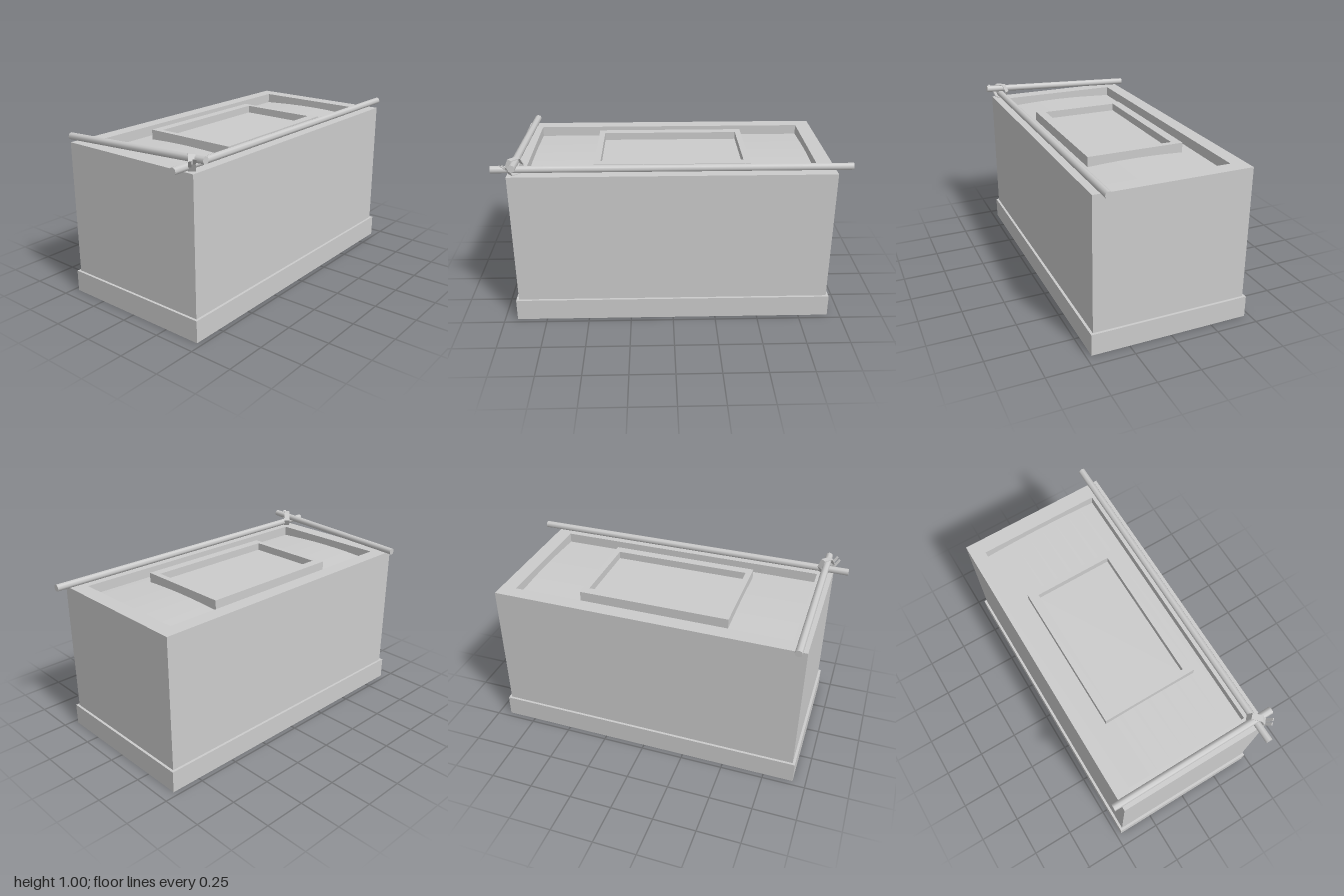
import * as THREE from 'three';

const grey = new THREE.MeshStandardMaterial({ color: 0xcccccc });
const thin = new THREE.MeshStandardMaterial({ color: 0xcccccc, side: THREE.DoubleSide });

function part(name, geometry, material = grey) {
  const mesh = new THREE.Mesh(geometry, material);
  mesh.name = name;
  return mesh;
}

const rect = (w, d) => [[-w, -d], [w, -d], [w, d], [-w, d]].map(([x, y]) => new THREE.Vector2(x, y));

// Upright rectangular frame with an open middle, sizes are half-extents
function frame(w, d, holeW, holeD, y0, y1) {
  const shape = new THREE.Shape(rect(w, d));
  shape.holes.push(new THREE.Path(rect(holeW, holeD).reverse()));
  return new THREE.ExtrudeGeometry(shape, { depth: y1 - y0, bevelEnabled: false })
    .rotateX(-Math.PI / 2).translate(0, y0, 0);
}

// Straight pole between two points
function pole(name, a, b, radius) {
  const dir = b.clone().sub(a);
  const mesh = part(name, new THREE.CylinderGeometry(radius, radius, dir.length(), 8));
  mesh.position.copy(a).lerp(b, 0.5);
  mesh.quaternion.setFromUnitVectors(new THREE.Vector3(0, 1, 0), dir.normalize());
  return mesh;
}

// Flat strap section: an outline given thickness across the strap's width
function strap(name, outline, hole, width) {
  const shape = new THREE.Shape(outline);
  if (hole) shape.holes.push(new THREE.Path(hole));
  const geometry = new THREE.ExtrudeGeometry(shape, { depth: width, bevelEnabled: false });
  return part(name, geometry.translate(0, 0, -width / 2), thin);
}

export function createModel() {
  const model = new THREE.Group();

  // Base and hollow-topped body
  model.add(part('plinth', new THREE.BoxGeometry(1.85, 0.128, 0.94).translate(0, 0.064, 0)));
  model.add(part('body', frame(0.91, 0.455, 0.82, 0.37, 0.12, 0.91)));

  // Gently crowned floor of the top recess
  const floor = new THREE.PlaneGeometry(1.64, 0.74, 1, 8).rotateX(-Math.PI / 2);
  const p = floor.attributes.position;
  for (let i = 0; i < p.count; i++) {
    p.setY(i, 0.851 + 0.014 * Math.cos((p.getZ(i) / 0.37) * Math.PI / 2));
  }
  floor.computeVertexNormals();
  model.add(part('recessFloor', floor));

  // Raised central border and its sunken panel
  model.add(part('panelBorder', frame(0.445, 0.29, 0.41, 0.235, 0.84, 0.914)));
  model.add(part('panel', new THREE.PlaneGeometry(0.82, 0.47).rotateX(-Math.PI / 2).translate(0, 0.869, 0)));

  // Two crossing poles
  model.add(pole('longPole', new THREE.Vector3(-1, 0.937, 0.405), new THREE.Vector3(1, 0.937, 0.405), 0.021));
  model.add(pole('shortPole', new THREE.Vector3(-0.867, 0.978, 0.499), new THREE.Vector3(-0.867, 0.93, -0.499), 0.021));

  // Lashing wrapped diagonally round the crossing, with two loose ends
  const lashing = new THREE.Group();
  lashing.name = 'lashing';
  const ring = (s) => [[0.03, -0.043], [0.053, 0], [0.03, 0.045], [-0.03, 0.045], [-0.053, 0], [-0.03, -0.043]]
    .map(([x, y]) => new THREE.Vector2(x * s, y * s));
  lashing.add(strap('lashingBand', ring(1), ring(0.9).reverse(), 0.036));
  for (const side of [-1, 1]) {
    const tail = strap('lashingEnd', [[-0.045, -0.012], [-0.04, -0.014], [-0.083, 0.03], [-0.088, 0.03]]
      .map(([x, y]) => new THREE.Vector2(x, y)), null, 0.017);
    tail.position.set(0, side * 0.005, side * 0.011);
    lashing.add(tail);
  }
  lashing.rotation.y = Math.PI / 4;
  lashing.position.set(-0.866, 0.956, 0.406);
  model.add(lashing);

  return model;
}
